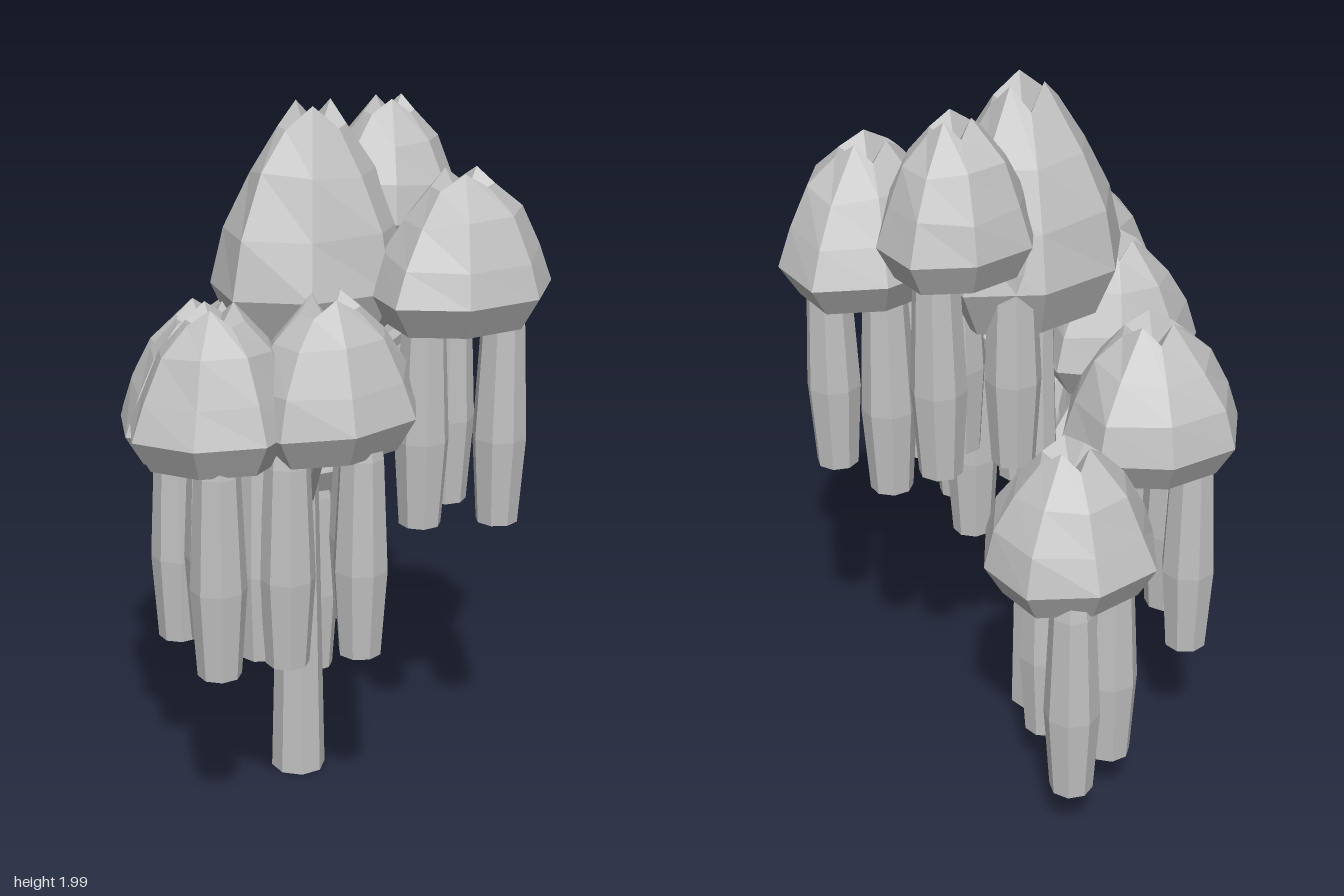
import * as THREE from 'three';

// Foliage clumps: centre at rim level, rim radii along x and z, turn of the rim corners, strands as [x, z]
const CLUMPS = [
  { name: 'crown', at: [0.06, 1.5, 0], radii: [0.34, 0.275], turn: 0.05, stretch: 1.52, strands: [] },
  { name: 'frontClump', at: [0.225, 1.5, 0.38], radii: [0.315, 0.25], turn: 0, stretch: 1,
    strands: [[0.11, 0.34], [0.26, 0.5], [0.32, 0.29]] },
  { name: 'upperLeftClump', at: [0.35, 1.65, 0.055], radii: [0.25, 0.215], turn: 0, stretch: 1,
    strands: [[0.27, 0.1], [0.42, 0.08], [0.28, -0.07]] },
  { name: 'lowLeftClump', at: [0.415, 0.83, -0.3], radii: [0.27, 0.25], turn: 0, stretch: 1,
    strands: [[0.33, -0.19], [0.55, -0.37], [0.36, -0.4]] },
  { name: 'backClump', at: [0.055, 1.05, -0.38], radii: [0.28, 0.26], turn: 0.13, stretch: 1,
    strands: [[0.07, -0.51], [-0.1, -0.38], [0.1, -0.27]] },
  { name: 'backRightClump', at: [-0.23, 1.14, -0.15], radii: [0.28, 0.245], turn: 0.25, stretch: 1,
    strands: [[-0.27, -0.23], [-0.12, -0.13], [-0.3, -0.04]] },
  { name: 'rightClump', at: [-0.42, 1.21, 0.04], radii: [0.27, 0.24], turn: 0.3, stretch: 1,
    strands: [[-0.52, 0.12], [-0.35, 0.13], [-0.35, -0.04]] },
  { name: 'frontRightClump', at: [-0.16, 1.21, 0.22], radii: [0.305, 0.235], turn: -0.25, stretch: 1,
    strands: [[-0.35, 0.22], [-0.18, 0.34], [0, 0.2]] },
];

let seed = 7;
function rand() {
  seed = (seed * 16807) % 2147483647;
  return seed / 2147483647 - 0.5;
}

// Rounded dome of eight-cornered rings with a jagged, dented top, centred at rim level
function domeGeometry({ radii, turn, stretch }) {
  // each ring: scale, height above the rim, height jitter
  const rings = [[0.79, -0.09, 0], [1, 0, 0], [0.86, 0.1, 0.02], [0.63, 0.205, 0.025], [0.34, 0.28, 0]];
  const n = 8, last = rings.length - 1, pos = [], idx = [];
  rings.forEach(([scale, height, jitter], r) => {
    for (let i = 0; i < n; i++) {
      const angle = turn + (i / n) * Math.PI * 2;
      // corners on the main axes stand out further; upper rings are uneven
      const s = scale * (i % 2 ? 0.94 : 1) * (1 + (r > 1 ? 0.08 * rand() : 0));
      // every third tip of the top ring is a spike, leaning inwards
      const spike = r === last && i % 3 === 0;
      const lift = spike ? 0.04 : jitter * rand();
      const out = spike ? 0.65 * s : s;
      pos.push(radii[0] * out * Math.cos(angle), (height + lift) * stretch, radii[1] * out * Math.sin(angle));
    }
  });
  const base = pos.length / 3;
  pos.push(0, -0.09 * stretch, 0, 0, 0.23 * stretch, 0);
  for (let i = 0; i < n; i++) {
    const j = (i + 1) % n;
    for (let r = 0; r < last; r++) {
      const a = r * n, b = a + n;
      idx.push(a + i, b + i, b + j, a + i, b + j, a + j);
    }
    idx.push(base, i, j, base + 1, last * n + j, last * n + i);
  }
  const geometry = new THREE.BufferGeometry();
  geometry.setAttribute('position', new THREE.Float32BufferAttribute(pos, 3));
  geometry.setIndex(idx);
  geometry.computeVertexNormals();
  return geometry;
}

// Tapered faceted branch between two points
function branch(from, to, material) {
  const dir = to.clone().sub(from);
  const mesh = new THREE.Mesh(new THREE.CylinderGeometry(0.02, 0.035, dir.length(), 6), material);
  mesh.position.copy(from).addScaledVector(dir, 0.5);
  mesh.quaternion.setFromUnitVectors(new THREE.Vector3(0, 1, 0), dir.normalize());
  mesh.name = 'branch';
  return mesh;
}

export function createModel() {
  const model = new THREE.Group();
  model.name = 'weepingTree';
  const grey = new THREE.MeshStandardMaterial({ color: 0xc0c0c0, flatShading: true });
  grey.name = 'grey';

  // Trunk
  const trunk = new THREE.Mesh(new THREE.CylinderGeometry(0.045, 0.08, 1.5, 8), grey);
  trunk.name = 'trunk';
  trunk.position.set(0.015, 0.75, -0.015);
  model.add(trunk);

  // Hanging strand, widest in the middle, closed at both ends
  const strandProfile = [[0, 0], [0.06, 0], [0.077, 0.25], [0.062, 0.57], [0.05, 0.64], [0, 0.64]]
    .map(([r, h]) => new THREE.Vector2(r, h));
  const strandGeometry = new THREE.LatheGeometry(strandProfile, 8);

  for (const clump of CLUMPS) {
    const group = new THREE.Group();
    group.name = clump.name;
    const centre = new THREE.Vector3(...clump.at);
    const dome = new THREE.Mesh(domeGeometry(clump), grey);
    dome.name = 'foliageDome';
    dome.position.copy(centre);
    group.add(dome);
    clump.strands.forEach(([x, z], i) => {
      const strand = new THREE.Mesh(strandGeometry, grey);
      strand.name = 'hangingStrand';
      strand.position.set(x, centre.y - 0.668, z);
      strand.rotation.y = i * 0.3;
      group.add(strand);
    });
    // Branch from the trunk into the clump
    if (clump.strands.length) {
      const start = new THREE.Vector3(0.03, centre.y - 0.38, -0.015);
      group.add(branch(start, centre, grey));
    }
    model.add(group);
  }
  return model;
}
